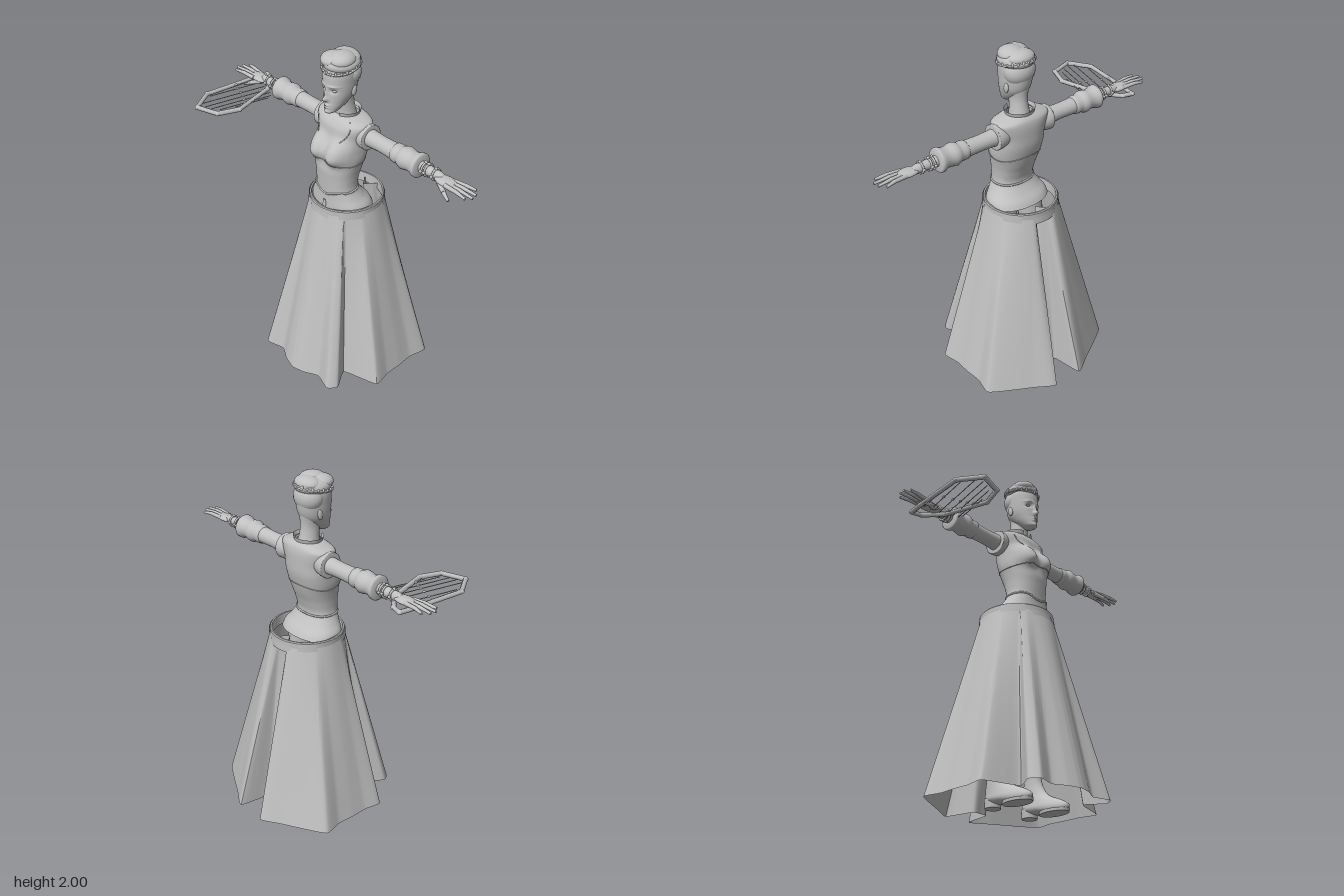
import * as THREE from 'three';
import { toCreasedNormals } from 'three/addons/utils/BufferGeometryUtils.js';

const V = (x, y, z) => new THREE.Vector3(x, y, z);
const clay = new THREE.MeshStandardMaterial({ color: 0xc0c0c0, side: THREE.DoubleSide });
clay.name = 'light grey';

function add(parent, name, geo, pos) {
  const m = new THREE.Mesh(geo, clay);
  m.name = name;
  if (pos) m.position.set(...pos);
  parent.add(m);
  return m;
}
function ball(parent, name, pos, size) {
  const m = add(parent, name, new THREE.SphereGeometry(1, 24, 16), pos);
  m.scale.set(...size);
  return m;
}
// Tapered rod between two points
function rod(parent, name, a, b, r0, r1 = r0, sides = 10) {
  const d = b.clone().sub(a);
  const m = add(parent, name, new THREE.CylinderGeometry(r1, r0, d.length(), sides));
  m.position.copy(a).addScaledVector(d, 0.5);
  m.quaternion.setFromUnitVectors(V(0, 1, 0), d.normalize());
  return m;
}
// Smooth lookup in rows of [height, half width, front z, back z]
function at(rows, y) {
  const n = rows.length - 1;
  let i = 0;
  while (i < n - 1 && rows[i + 1][0] <= y) i++;
  const h = rows[i + 1][0] - rows[i][0];
  const t = Math.min(1, Math.max(0, (y - rows[i][0]) / h));
  const slope = (j, k) => {
    const a = rows[Math.max(0, j - 1)], b = rows[Math.min(n, j + 1)];
    return (b[k] - a[k]) / (b[0] - a[0]);
  };
  return [1, 2, 3].map(k => {
    const p = rows[i][k], q = rows[i + 1][k], t2 = t * t, t3 = t2 * t;
    return p * (2 * t3 - 3 * t2 + 1) + q * (3 * t2 - 2 * t3)
      + h * (slope(i, k) * (t3 - 2 * t2 + t) + slope(i + 1, k) * (t3 - t2));
  });
}
// Body surface: angle 0 faces front, with an optional bump on the front half
const surface = (rows, bump, pow = 1) => (a, y) => {
  const [w, f, b] = at(rows, y);
  const p = v => Math.sign(v) * Math.abs(v) ** pow;
  const x = w * p(Math.sin(a)), c = p(Math.cos(a));
  let z = (f + b) / 2 + (f - b) / 2 * c;
  if (bump && c > 0) z += bump(x, y) * Math.min(1, c * 2);
  return V(x, y, z);
};
// Closed-around surface from v0 to v1, with end caps if wanted
function loft(fn, v0, v1, cols, rows, caps = true) {
  const pos = [], idx = [];
  for (let j = 0; j <= rows; j++)
    for (let i = 0; i < cols; i++)
      pos.push(...fn(i / cols * Math.PI * 2, v0 + (v1 - v0) * j / rows).toArray());
  for (let j = 0; j < rows; j++)
    for (let i = 0; i < cols; i++) {
      const k = (i + 1) % cols, a = j * cols, b = a + cols;
      idx.push(a + i, a + k, b + k, a + i, b + k, b + i);
    }
  if (caps) for (const [j, v] of [[0, v0], [rows, v1]]) {
    const c = pos.length / 3, mid = fn(0, v).add(fn(Math.PI, v)).multiplyScalar(0.5);
    pos.push(mid.x, mid.y, mid.z);
    for (let i = 0; i < cols; i++) {
      const a = j * cols + i, b = j * cols + (i + 1) % cols;
      idx.push(...(j ? [c, a, b] : [c, b, a]));
    }
  }
  const g = new THREE.BufferGeometry();
  g.setAttribute('position', new THREE.Float32BufferAttribute(pos, 3));
  g.setIndex(idx);
  g.computeVertexNormals();
  return g;
}
const hill = (x, y, cx, cy, sx, sy) => Math.exp(-(((x - cx) / sx) ** 2) - ((y - cy) / sy) ** 2);

function buildTorso(root) {
  const rows = [
    [1.09, .184, .156, -.112], [1.12, .175, .155, -.095], [1.16, .147, .153, -.06], [1.21, .122, .154, -.032],
    [1.28, .122, .158, -.046], [1.34, .131, .16, -.068], [1.40, .143, .144, -.086], [1.46, .146, .118, -.099],
    [1.52, .15, .112, -.102], [1.58, .168, .106, -.102], [1.612, .168, .088, -.096],
    [1.626, .13, .075, -.088], [1.642, .07, .06, -.07]];
  // Flat-topped hills give rounded cups
  const cup = (x, y, cx) => Math.exp(-((((x - cx) / .066) ** 2 + ((y - 1.452) / .064) ** 2) ** 1.3));
  const bust = (x, y) => .068 * (cup(x, y, .072) + cup(x, y, -.072));
  const skin = surface(rows, bust, .88);
  add(root, 'torso', loft(skin, 1.09, 1.642, 80, 72, false));
  // Raised seams that follow the bodice
  const seam = (name, height, r) => {
    const pts = Array.from({ length: 72 }, (_, i) => skin(i / 72 * Math.PI * 2, height(i / 72 * Math.PI * 2)));
    add(root, name, new THREE.TubeGeometry(new THREE.CatmullRomCurve3(pts, true), 144, r, 6, true));
  };
  seam('underbustSeam', a => 1.385 + .012 * Math.cos(a * 2), .003);
  seam('waistTrim', a => 1.207 - .025 * Math.max(0, Math.cos(a)) ** 12, .006);
  for (const s of [1, -1]) {
    const pts = [[.75, 1.625], [.72, 1.59], [.66, 1.55], [.52, 1.52]].map(([a, y]) => skin(a * s, y));
    add(root, 'yokeSeam', new THREE.TubeGeometry(new THREE.CatmullRomCurve3(pts), 24, .0025, 6));
  }
  // Flared stand collar, open at the front
  const collar = add(root, 'collar', new THREE.CylinderGeometry(.088, .078, .036, 40, 1, true, .3, Math.PI * 2 - .6), [0, 1.642, -.004]);
  collar.scale.z = .88;
  rod(root, 'waistPendant', skin(0, 1.14), skin(0, 1.1), .008, .012);
}

function buildHead(root) {
  const neck = surface([[1.6, .06, .06, -.07], [1.66, .05, .058, -.055], [1.72, .046, .066, -.048], [1.79, .055, .06, -.055]]);
  add(root, 'neck', loft(neck, 1.6, 1.79, 32, 12));
  const rows = [
    [1.668, .014, .125, .08], [1.678, .03, .134, .06], [1.7, .045, .134, .025], [1.73, .06, .132, -.015],
    [1.775, .075, .131, -.052], [1.84, .082, .132, -.068], [1.9, .083, .128, -.07], [1.94, .068, .11, -.06]];
  const features = (x, y) => .026 * hill(x, y, 0, 1.757, .013, .014) + .013 * hill(x, y, 0, 1.785, .01, .03)
    + .009 * hill(x, y, 0, 1.722, .02, .006) + .009 * hill(x, y, 0, 1.708, .018, .006) + .006 * hill(x, y, 0, 1.682, .02, .01)
    - .012 * (hill(x, y, .035, 1.806, .018, .012) + hill(x, y, -.035, 1.806, .018, .012))
    + .006 * (hill(x, y, .038, 1.832, .025, .006) + hill(x, y, -.038, 1.832, .025, .006));
  const face = surface(rows, features, .95);
  add(root, 'head', loft(face, 1.668, 1.94, 112, 90));
  for (const s of [1, -1]) {
    ball(root, 'eye', [s * .035, 1.806, .109], [.016, .008, .01]);
    ball(root, 'ear', [s * .077, 1.79, .01], [.009, .03, .017]).rotation.x = -.2;
  }
  // Swept-up hair: a close cap below, broad overlapping rolls on top
  ball(root, 'hairCap', [0, 1.875, -.002], [.09, .08, .074]);
  ball(root, 'hairCrown', [0, 1.934, .026], [.098, .052, .102]);
  for (const [x, y, z, a, b, c] of [[-.02, 1.95, .06, .07, .04, .07],
    [.02, 1.957, .04, .07, .043, .075], [0, 1.952, -.01, .08, .038, .062]])
    ball(root, 'hairRoll', [x, y, z], [a, b, c]);
  // Headband with small points
  const band = new THREE.Group();
  band.name = 'headband';
  band.position.set(0, 1.917, .027);
  band.rotation.x = .18;
  root.add(band);
  const ring = add(band, 'bandRing', new THREE.TorusGeometry(.096, .006, 8, 56));
  ring.rotation.x = Math.PI / 2;
  ring.scale.y = 1.07;
  for (let i = 0; i < 22; i++) {
    const a = i / 22 * Math.PI * 2;
    ball(band, 'bandBead', [.097 * Math.sin(a), .006, .104 * Math.cos(a)], [.007, i % 2 ? .007 : .012, .007]);
  }
}

function buildArm(root, side) {
  const arm = new THREE.Group();
  arm.name = side > 0 ? 'leftArm' : 'rightArm';
  arm.scale.x = side;
  root.add(arm);
  const cy = 1.544, cz = -.01;
  // Turned profile running outward: [distance, radius]
  const turned = (name, pts) => {
    const m = add(arm, name, new THREE.LatheGeometry(pts.map(([x, r]) => new THREE.Vector2(r, x)), 28), [0, cy, cz]);
    m.rotation.z = -Math.PI / 2;
  };
  turned('shoulderCap', [[.11, .06], [.15, .07], [.18, .072], [.184, .068], [.184, .045]]);
  turned('upperSleeve', [[.14, .05], [.2, .046], [.26, .043], [.32, .044], [.4, .047]]);
  turned('foldedCuff', [[.36, .045], [.365, .051], [.385, .053], [.405, .05], [.415, .056], [.435, .063], [.455, .06],
    [.475, .055], [.5, .057], [.52, .066], [.535, .067], [.543, .06], [.545, .03]]);
  turned('forearm', [[.5, .034], [.56, .03], [.63, .025], [.66, .026], [.69, .018]]);
  for (const [x, r] of [[.568, .033], [.588, .032], [.637, .029]]) {
    const m = add(arm, 'bracelet', new THREE.TorusGeometry(r, .006, 8, 28), [x, cy, cz]);
    m.rotation.y = Math.PI / 2;
    for (let i = 0; i < 4; i++)
      ball(arm, 'braceletStud', [x, cy + (r + .004) * Math.cos(i * 1.57), cz + (r + .004) * Math.sin(i * 1.57)], [.009, .008, .008]);
  }
  ball(arm, 'palm', [.71, 1.541, -.005], [.07, .018, .041]);
  const fingers = [[-.031, -.053, .862], [-.011, -.02, .89], [.01, .012, .895], [.028, .042, .872]];
  for (const [z0, z1, x1] of fingers) {
    const mid = V(.81, 1.547, z0 + (z1 - z0) * .5);
    rod(arm, 'finger', V(.73, 1.542, z0), mid, .0125, .0105);
    rod(arm, 'fingerTip', mid, V(x1, 1.542, z1), .0105, .007);
    ball(arm, 'knuckle', mid.toArray(), [.0105, .0105, .0105]);
  }
  rod(arm, 'thumb', V(.68, 1.535, .015), V(.74, 1.514, .045), .015, .012);
  rod(arm, 'thumbTip', V(.74, 1.514, .045), V(.785, 1.493, .06), .012, .007);
}

function buildSkirt(root) {
  // Half outline of the pleated hem from front centre to back centre, then mirrored
  const half = [[0, .43], [.08, .41], [.16, .37], [.265, .398], [.303, .345], [.238, .24], [.33, .205], [.443, .165],
    [.425, .06], [.425, -.04], [.418, -.14], [.436, -.25], [.32, -.325], [.2, -.392], [.087, -.455], [.05, -.285], [0, -.28]];
  const hem = [...half, ...half.slice(1, -1).reverse().map(([x, z]) => [-x, z])].map(([x, z]) => V(x, .045, z));
  const curve = new THREE.CatmullRomCurve3(hem, true, 'catmullrom', .25);
  // Straight pleats up to the waist, tucked inward at the back opening
  const pleat = (a, t) => {
    const p = curve.getPoint(a / (Math.PI * 2));
    const b = Math.atan2(p.x, p.z);
    const tuck = .08 * Math.max(0, 1 - (Math.PI - Math.abs(b)) / .28);
    return p.lerp(V(.203 * Math.sin(b), 1.1, -.012 + .204 * Math.cos(b) + tuck), t);
  };
  add(root, 'skirt', toCreasedNormals(loft(pleat, 0, 1, hem.length * 6, 10, false), .8));
  // Hollow belt and its raised plates
  const profile = [[.2, 1.06], [.206, 1.066], [.207, 1.114], [.203, 1.12], [.195, 1.12], [.193, 1.06], [.2, 1.06]];
  const belt = add(root, 'belt', toCreasedNormals(
    new THREE.LatheGeometry(profile.map(p => new THREE.Vector2(...p)), 56), .6), [0, 0, -.012]);
  belt.scale.z = 1.01;
  for (const [start, len, y, h] of [[-.4, .72, 1.07, .035], [.6, .7, 1.09, .045], [-1.25, .65, 1.09, .045],
    [2.0, .5, 1.09, .045], [2.8, .75, 1.07, .04], [3.75, .5, 1.09, .045]])
    add(root, 'beltPlate', new THREE.CylinderGeometry(.211, .213, h, 16, 1, true, start, len), [0, y, -.012]);
}

function buildLeg(root, s) {
  const rows = [[.012, .05, .215, .02], [.035, .058, .222, -.085], [.065, .052, .18, -.095], [.11, .045, .085, -.09],
    [.2, .043, .03, -.075], [.3, .05, .035, -.075]];
  add(root, 'boot', loft(surface(rows), .012, .3, 36, 24), [s * .14, 0, 0]);
  const sole = add(root, 'sole', new THREE.CylinderGeometry(.058, .056, .016, 32), [s * .14, .008, .125]);
  sole.scale.z = 1.65;
  add(root, 'heel', new THREE.CylinderGeometry(.046, .042, .05, 20), [s * .14, .025, -.048]);
  rod(root, 'leg', V(s * .14, .28, -.02), V(s * .085, 1.09, .025), .049, .075, 20);
}

function buildLyre(root) {
  const lyre = new THREE.Group();
  lyre.name = 'lyre';
  lyre.position.y = 1.517;
  root.add(lyre);
  const frame = [[-.695, -.07], [-.75, -.085], [-.765, 0], [-.8, .31], [-.72, .435], [-.59, .395], [-.545, .28], [-.612, .03]]
    .map(([x, z]) => V(x, 0, z));
  frame.forEach((p, i) => {
    rod(lyre, 'lyreFrame', p, frame[(i + 1) % frame.length], .0135, .0135, 6);
    ball(lyre, 'lyreJoint', p.toArray(), [.0145, .0135, .0145]);
  });
  // Slanted strings with a small peg on each
  const starts = [[-.785, .2], [-.77, .31], [-.735, .39], [-.695, .4], [-.655, .39], [-.615, .36], [-.58, .28]];
  const lengths = [.2, .31, .38, .38, .36, .31, .2];
  starts.forEach(([x, z], i) => {
    rod(lyre, 'string', V(x, 0, z), V(x + lengths[i] * .23, 0, z - lengths[i] * .97), .0025, .0025, 5);
    const pegZ = .13 + .1 * i / 6;
    ball(lyre, 'peg', [x + (z - pegZ) * .237, .003, pegZ], [.007, .006, .01]);
  });
}

export function createModel() {
  const root = new THREE.Group();
  root.name = 'gownedMusician';
  buildTorso(root);
  buildHead(root);
  buildSkirt(root);
  buildLyre(root);
  for (const s of [1, -1]) {
    buildArm(root, s);
    buildLeg(root, s);
  }
  return root;
}
